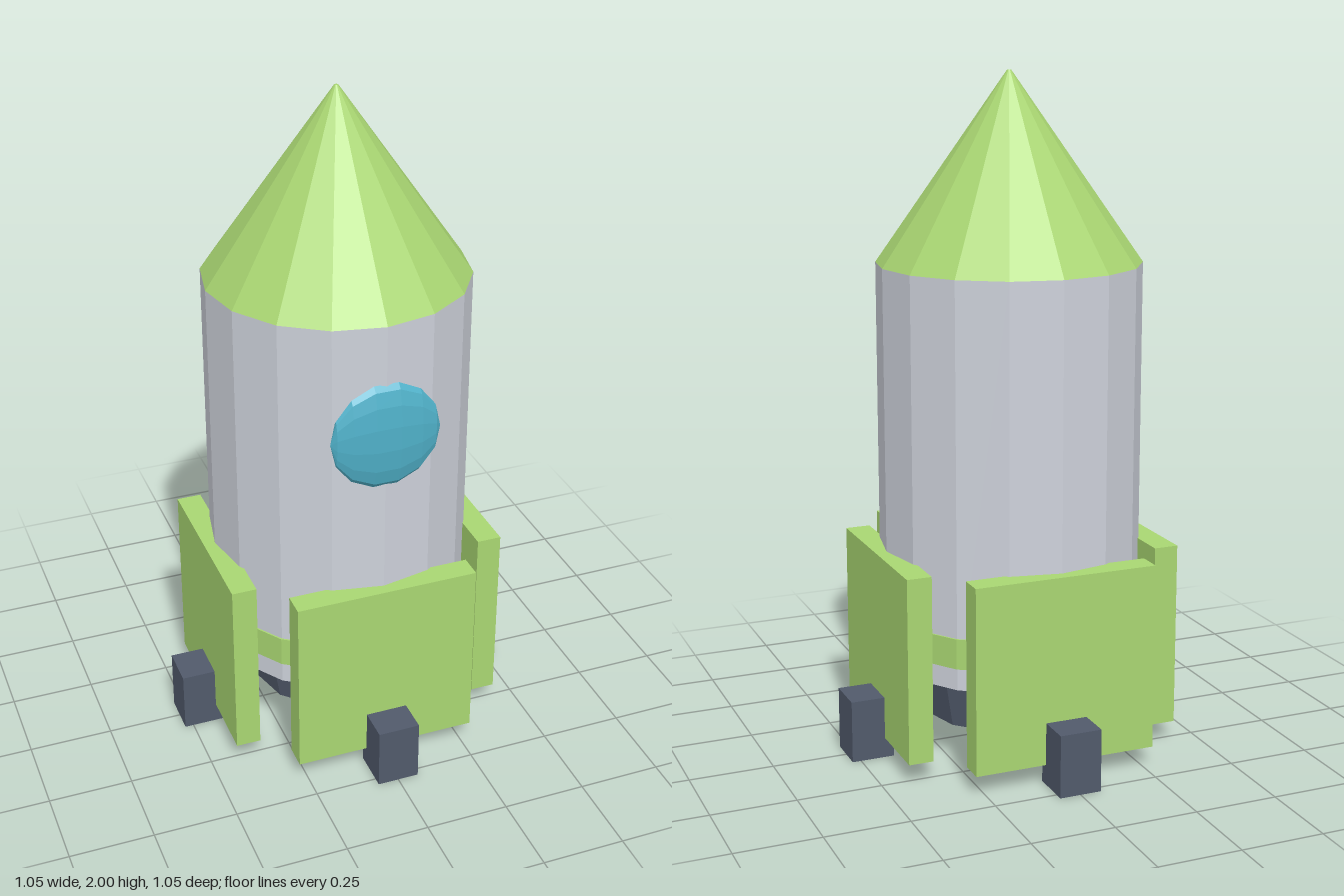
import * as THREE from 'three';

const mat = (name, color) => {
  const m = new THREE.MeshStandardMaterial({ color });
  m.name = name;
  return m;
};

// Faceted mesh: split vertices and give every face its own normal
function part(name, geometry, material, x = 0, y = 0, z = 0) {
  const g = geometry.toNonIndexed();
  g.computeVertexNormals();
  const mesh = new THREE.Mesh(g, material);
  mesh.name = name;
  mesh.position.set(x, y, z);
  return mesh;
}

// Upright frustum between two heights
function frustum(name, rTop, rBottom, y0, y1, sides, material) {
  const g = new THREE.CylinderGeometry(rTop, rBottom, y1 - y0, sides);
  return part(name, g, material, 0, (y0 + y1) / 2, 0);
}

export function createModel() {
  const green = mat('leafGreen', 0xa9d672);
  const grey = mat('hullGrey', 0xcdd1da);
  const dark = mat('darkSlate', 0x515a6b);
  const blue = mat('windowBlue', 0x4fb0c8);

  const rocket = new THREE.Group();
  rocket.name = 'rocket';

  // Hull, nose, trim band and engine nozzle
  rocket.add(
    frustum('hull', 0.39, 0.39, 0.265, 1.45, 16, grey),
    frustum('noseCone', 0.006, 0.39, 1.45, 2.0, 16, green),
    frustum('trimBand', 0.395, 0.395, 0.33, 0.42, 16, green),
    frustum('nozzle', 0.31, 0.275, 0.1, 0.265, 12, dark),
  );

  // Round window: flattened ball set into the front of the hull
  const ball = new THREE.SphereGeometry(0.164, 14, 7);
  ball.rotateZ(Math.PI / 2).scale(1, 1, 0.2);
  rocket.add(part('window', ball, blue, 0, 1.115, 0.386));

  // Four fin plates, each with a foot
  for (let i = 0; i < 4; i++) {
    const leg = new THREE.Group();
    leg.name = 'finAndFoot' + (i + 1);
    leg.add(
      part('finPlate', new THREE.BoxGeometry(0.554, 0.555, 0.074), green, 0, 0.3375, 0.388),
      part('foot', new THREE.BoxGeometry(0.126, 0.187, 0.128), dark, 0, 0.0935, 0.462),
    );
    leg.rotation.y = (i * Math.PI) / 2;
    rocket.add(leg);
  }
  return rocket;
}
